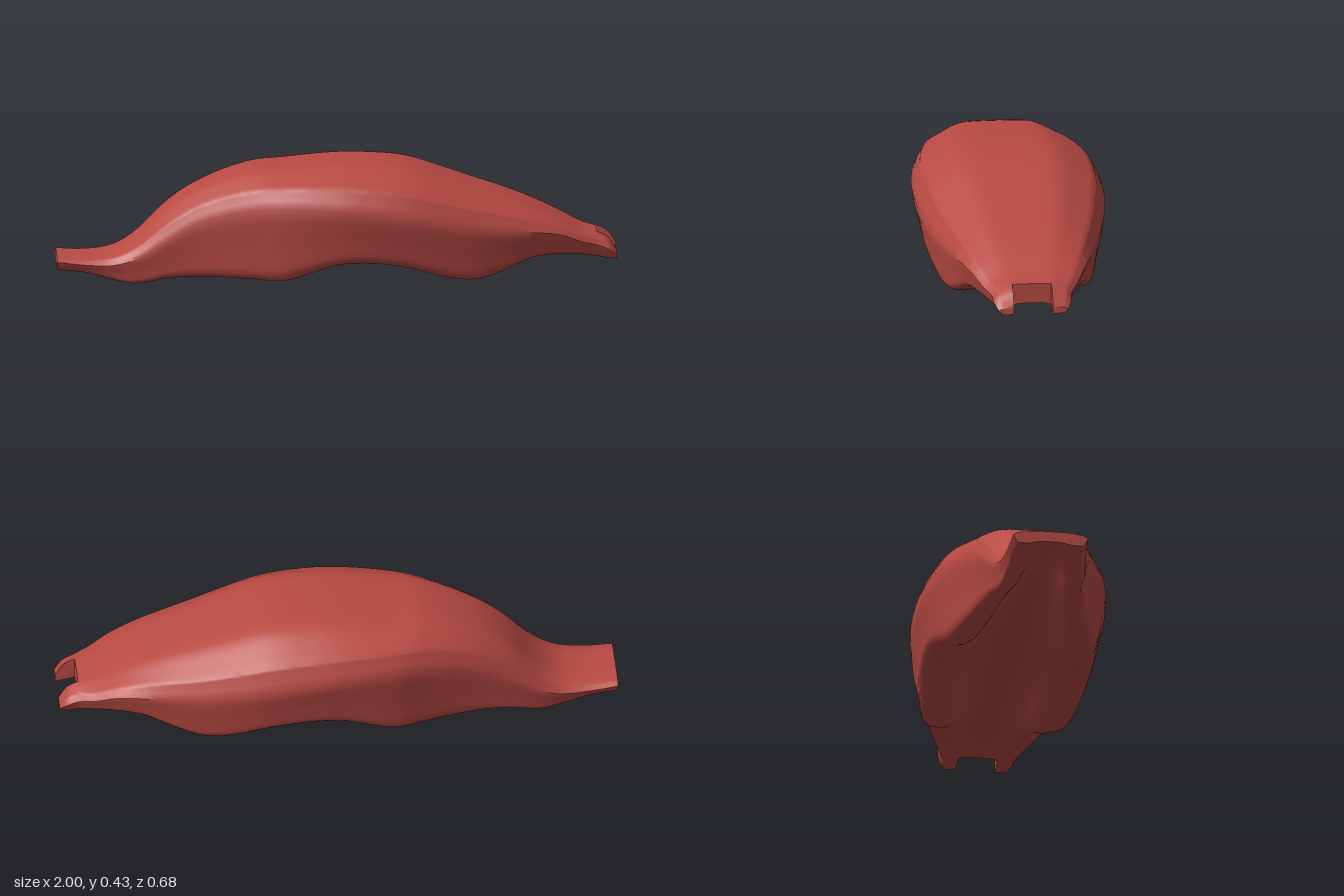
import * as THREE from 'three';
import { toCreasedNormals } from 'three/addons/utils/BufferGeometryUtils.js';

// Stations along the length: x, top, bottom, half width, height of widest line, underside height
const STATIONS = [
  [-1, 0.1, 0.05, 0.135, 0.08, 0.06], [-0.9, 0.097, 0.04, 0.142, 0.07, 0.068],
  [-0.8, 0.112, 0.015, 0.152, 0.07, 0.08], [-0.73, 0.15, 0.002, 0.163, 0.09, 0.09],
  [-0.6, 0.272, 0.025, 0.188, 0.17, 0.11], [-0.5, 0.337, 0.033, 0.21, 0.23, 0.12],
  [-0.3, 0.409, 0.03, 0.268, 0.285, 0.14], [-0.2, 0.417, 0.027, 0.3, 0.295, 0.15],
  [0, 0.433, 0.088, 0.335, 0.29, 0.17], [0.1, 0.433, 0.095, 0.341, 0.28, 0.172],
  [0.25, 0.42, 0.077, 0.336, 0.258, 0.165], [0.4, 0.375, 0.037, 0.312, 0.23, 0.15],
  [0.5, 0.342, 0.03, 0.29, 0.212, 0.14], [0.6, 0.31, 0.06, 0.264, 0.202, 0.135],
  [0.7, 0.272, 0.1, 0.236, 0.195, 0.13], [0.8, 0.225, 0.107, 0.202, 0.18, 0.122],
  [0.88, 0.185, 0.1, 0.168, 0.148, 0.11], [0.93, 0.172, 0.09, 0.145, 0.134, 0.1],
  [0.975, 0.147, 0.082, 0.138, 0.115, 0.09], [1, 0.108, 0.08, 0.125, 0.095, 0.085],
];
const NOTCH_X = 0.93, NOTCH_Z = 0.07;

const stationAt = new THREE.CubicInterpolant(
  STATIONS.map((s) => s[0]), STATIONS.flatMap((s) => s.slice(1)), 5, new Float32Array(5));

// Half of the cross-section, from the top centre round the side to the underside centre
function halfSection(x) {
  const [top, bottom, half, wide, under] = stationAt.evaluate(x);
  const up = (f) => wide + (top - wide) * f;
  const down = (f) => wide + (bottom - wide) * f;
  const inner = (f) => bottom + (under - bottom) * f;
  const points = [
    [0, top], [0.28, up(0.995)], [0.48, up(0.96)], [0.6, up(0.86)], [0.75, up(0.68)],
    [0.895, up(0.5)], [0.915, up(0.4)], [1, wide], [0.955, down(0.4)], [0.915, down(0.75)],
    [0.89, down(0.92)], [0.82, bottom], [0.62, bottom], [0.5, inner(0.25)],
    [0.36, inner(0.75)], [0.24, inner(0.97)], [0, under],
  ].map(([z, y]) => new THREE.Vector3(x, y, z * half));
  return new THREE.CatmullRomCurve3(points).getPoints((points.length - 1) * 2);
}

// Skin a row of closed loops and close both ends
function loft(loops) {
  const n = loops[0].length, index = [];
  for (let i = 0; i < loops.length - 1; i++) {
    for (let j = 0; j < n; j++) {
      const k = (j + 1) % n, a = i * n + j, b = i * n + k;
      index.push(a, b, b + n, a, b + n, a + n);
    }
  }
  const cap = (loop, base, flip) => {
    const contour = loop.map((p) => new THREE.Vector2(-p.z, p.y));
    for (const [a, b, c] of THREE.ShapeUtils.triangulateShape(contour, [])) {
      index.push(base + a, base + (flip ? c : b), base + (flip ? b : c));
    }
  };
  cap(loops[0], 0, true);
  cap(loops[loops.length - 1], (loops.length - 1) * n, false);
  const geometry = new THREE.BufferGeometry().setFromPoints(loops.flat());
  geometry.setIndex(index);
  return toCreasedNormals(geometry, 0.6);
}

const range = (from, to, steps) =>
  Array.from({ length: steps + 1 }, (_, i) => from + ((to - from) * i) / steps);
const mirrorZ = (p) => new THREE.Vector3(p.x, p.y, -p.z);

export function createModel() {
  const group = new THREE.Group();
  group.name = 'curvedCover';
  const red = new THREE.MeshStandardMaterial({ color: 0xb84a44 });
  red.name = 'brick red';
  const add = (name, geometry) => {
    const mesh = new THREE.Mesh(geometry, red);
    mesh.name = name;
    group.add(mesh);
  };

  // Arched shell with a channel underneath
  add('shell', loft(range(-1, NOTCH_X, 90).map((x) => {
    const side = halfSection(x);
    return [...side, ...side.slice(1, -1).reverse().map(mirrorZ)];
  })));

  // Two prongs beside the end notch
  const prong = range(NOTCH_X, 1, 10).map((x) => halfSection(x).map((p) => {
    p.z = Math.max(p.z, NOTCH_Z);
    return p;
  }));
  add('frontProng', loft(prong));
  add('backProng', loft(prong.map((loop) => loop.map(mirrorZ).reverse())));
  return group;
}
